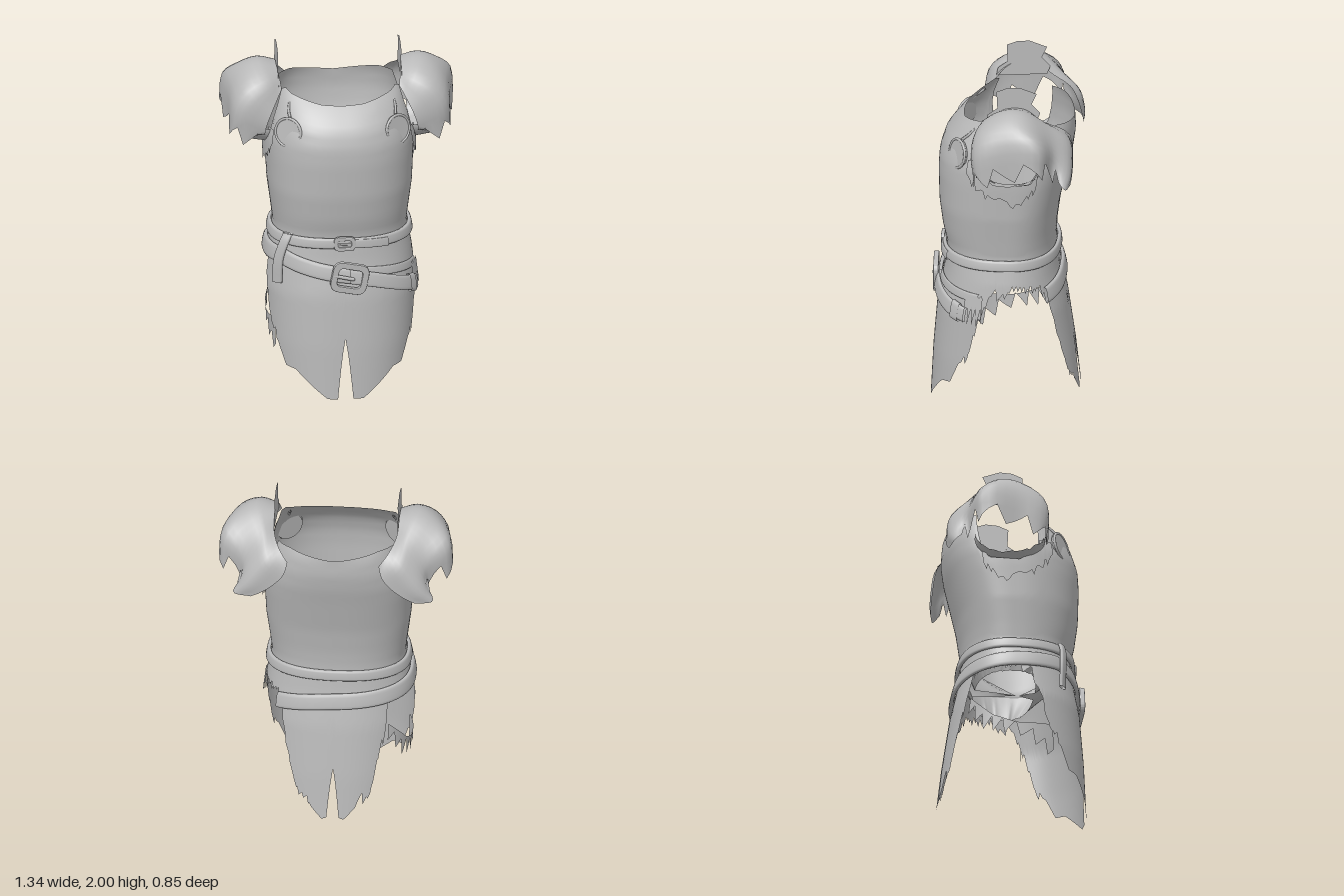
import * as THREE from 'three';
import { mergeVertices } from 'three/addons/utils/BufferGeometryUtils.js';

const grey = new THREE.MeshStandardMaterial({ color: 0xb8b8b8, side: THREE.DoubleSide });
grey.name = 'plain grey';

// piecewise linear lookup: rows [key, ...values]
function lut(rows, k, c = 1) {
  if (k <= rows[0][0]) return rows[0][c];
  for (let i = 1; i < rows.length; i++) {
    const a = rows[i - 1], b = rows[i];
    if (k <= b[0]) return a[c] + (b[c] - a[c]) * (k - a[0]) / (b[0] - a[0]);
  }
  return rows[rows.length - 1][c];
}
const spow = (v, p) => Math.sign(v) * Math.pow(Math.abs(v), p);
const noise = (i) => { const s = Math.sin(i * 127.1 + 11.7) * 43758.5453; return s - Math.floor(s); };

// body cross-sections: height, half width, front depth, back depth
const BODY = [
  [0, 0.40, 0.43, 0.425], [0.3, 0.425, 0.415, 0.39], [0.6, 0.435, 0.39, 0.345],
  [0.8, 0.41, 0.35, 0.30], [0.95, 0.38, 0.335, 0.28], [1.05, 0.392, 0.36, 0.285],
  [1.2, 0.412, 0.38, 0.305], [1.4, 0.42, 0.385, 0.35], [1.5, 0.42, 0.378, 0.375],
  [1.6, 0.40, 0.345, 0.39], [1.7, 0.37, 0.26, 0.385], [1.78, 0.35, 0.16, 0.35],
];
const BACK_POWER = [[0.9, 0.83], [1.4, 0.62]]; // the upper back is squarer
// point on the body; angle in degrees, 0 = front, 90 = model's left
function onBody(deg, y, off = 0) {
  const a = deg * Math.PI / 180, s = Math.sin(a), c = Math.cos(a);
  const depth = lut(BODY, y, c > 0 ? 2 : 3);
  return new THREE.Vector3((lut(BODY, y, 1) + off) * spow(s, 0.83), y,
    (depth + off) * spow(c, c > 0 ? 0.83 : lut(BACK_POWER, y)));
}

function grid(nu, nv, fn, flip = false) {
  const pos = [], idx = [];
  for (let i = 0; i <= nu; i++) for (let j = 0; j <= nv; j++) {
    const p = fn(i / nu, j / nv, i);
    pos.push(p.x, p.y, p.z);
  }
  for (let i = 0; i < nu; i++) for (let j = 0; j < nv; j++) {
    const a = i * (nv + 1) + j, b = a + nv + 1;
    if (flip) idx.push(a, b + 1, b, a, a + 1, b + 1);
    else idx.push(a, b, b + 1, a, b + 1, a + 1);
  }
  const g = new THREE.BufferGeometry();
  g.setAttribute('position', new THREE.Float32BufferAttribute(pos, 3));
  g.setIndex(idx);
  const m = mergeVertices(g, 1e-5);
  m.computeVertexNormals();
  return m;
}

// cloth hugging the body between two height functions
const cloth = (d0, d1, n, rows, bottom, top, off = 0) => grid(n, rows, (u, v, i) => {
  const d = d0 + (d1 - d0) * u, b = bottom(d, i);
  return onBody(d, b + (top(d, i) - b) * v, off);
});

// belt with a rounded section, its height given by rows [angle, y]
const belt = (d0, d1, n, path, h, t, off = 0.002) => grid(n, 16, (u, v) => {
  const d = d0 + (d1 - d0) * u, a = v * Math.PI * 2;
  return onBody(d, lut(path, d) + h / 2 * spow(Math.sin(a), 0.6), off + t * (0.5 + 0.5 * spow(Math.cos(a), 0.6)));
});

// buckle frame: rounded rectangle with a hole
function frame(w, h, bar, depth) {
  const rounded = (P, x, y, r) => {
    const p = new P();
    p.moveTo(-x + r, -y); p.lineTo(x - r, -y); p.quadraticCurveTo(x, -y, x, -y + r);
    p.lineTo(x, y - r); p.quadraticCurveTo(x, y, x - r, y);
    p.lineTo(-x + r, y); p.quadraticCurveTo(-x, y, -x, y - r);
    p.lineTo(-x, -y + r); p.quadraticCurveTo(-x, -y, -x + r, -y);
    return p;
  };
  const s = rounded(THREE.Shape, w / 2, h / 2, w * 0.25);
  s.holes.push(rounded(THREE.Path, w / 2 - bar, h / 2 - bar, w * 0.16));
  return new THREE.ExtrudeGeometry(s, { depth, bevelEnabled: true, bevelSize: 0.005, bevelThickness: 0.005, bevelSegments: 2, curveSegments: 6 });
}

// shoulder guard stations, front to back, each from neck to outer edge
const GUARD = [
  [[.335, 1.77, .09], [.37, 1.71, .135], [.405, 1.64, .165], [.43, 1.57, .17], [.44, 1.50, .155]],
  [[.345, 1.83, .04], [.42, 1.82, .10], [.52, 1.77, .135], [.59, 1.67, .14], [.61, 1.52, .12]],
  [[.355, 1.87, -.03], [.46, 1.895, -.03], [.56, 1.845, -.02], [.625, 1.75, -.02], [.635, 1.57, -.02]],
  [[.355, 1.87, -.13], [.46, 1.89, -.14], [.57, 1.84, -.17], [.645, 1.76, -.23], [.66, 1.61, -.235]],
  [[.35, 1.80, -.23], [.41, 1.80, -.27], [.47, 1.74, -.30], [.515, 1.65, -.315], [.53, 1.55, -.30]],
  [[.31, 1.74, -.34], [.37, 1.70, -.385], [.43, 1.62, -.40], [.50, 1.53, -.40], [.57, 1.47, -.375]],
  [[.26, 1.68, -.385], [.28, 1.61, -.40], [.33, 1.55, -.405], [.41, 1.49, -.405], [.47, 1.46, -.40]],
];
function guardGeometry(side) {
  const rails = [0, 1, 2, 3, 4].map((k) => new THREE.CatmullRomCurve3(GUARD.map((s) => new THREE.Vector3(...s[k]))));
  return grid(28, 12, (u, v, i) => {
    const p = new THREE.CatmullRomCurve3(rails.map((r) => r.getPoint(u))).getPoint(v);
    if (v === 1 && u < 0.75) p.y -= (i % 4 - 1.5) * 0.035;
    p.x *= side;
    return p;
  }, side > 0);
}

export function createModel() {
  const model = new THREE.Group();
  const add = (name, geo, x = 0, y = 0, z = 0, rx = 0, ry = 0, rz = 0) => {
    const m = new THREE.Mesh(geo, grey);
    m.name = name;
    m.position.set(x, y, z);
    m.rotation.set(rx, ry, rz, 'YXZ');
    model.add(m);
  };

  // chest and back with neckline and armholes
  const TOP = [[0, 1.715], [15, 1.72], [50, 1.76], [60, 1.78], [70, 1.77], [77, 1.5], [90, 1.42],
    [106, 1.43], [112, 1.5], [117, 1.74], [140, 1.74], [180, 1.70]];
  add('torso', cloth(-180, 180, 180, 24, () => 0.93, (d) => lut(TOP, Math.abs(d))));

  // lining folded inward below the waist, with a pointed gusset front and back
  const LINING = [[0, 0.05], [5, 0.135], [89, 0.135], [91, -0.21], [175, -0.21], [180, 0.03]];
  add('waistLining', grid(144, 6, (u, v, i) => {
    const d = -180 + 360 * u, a = d * Math.PI / 180;
    const inner = new THREE.Vector3((0.325 + 0.02 * noise(i)) * spow(Math.sin(a), 0.83), 0.77,
      lut(LINING, Math.abs(d)) * Math.abs(spow(Math.cos(a), 0.7)));
    return inner.lerp(onBody(d, 0.93, -0.006), v);
  }));

  // torn skirt with front and back slits and open sides
  const HEM = [[0, 0.36], [4, 0], [11, 0], [38, 0.16], [49, 0.17], [58, 0.30], [66, 0.34], [70, 0.43],
    [76, 0.6], [82, 0.72], [100, 0.77], [125, 0.75], [138, 0.70], [143, 0.52], [148, 0.38], [154, 0.18], [165, 0.13],
    [174, 0.05], [177, 0.06], [180, 0.36]];
  add('skirt', cloth(-180, 180, 360, 20, (d, i) => {
    const a = Math.abs(d), amp = a > 60 && a < 166 ? 0.09 : 0;
    return lut(HEM, a) + amp * (noise(Math.floor(i / 4)) * 0.6 + (i % 4) * 0.12 - 0.3);
  }, () => 0.94));
  // ragged strips on both sides
  add('rightSideRag', cloth(-138, -64, 38, 4, (d, i) => lut([[-138, 0.5], [-118, 0.37], [-90, 0.33], [-64, 0.2]], d) + (i % 5) * 0.022,
    (d) => lut([[-138, 0.6], [-110, 0.46], [-90, 0.41], [-64, 0.42]], d), -0.01));
  add('leftSideRag', cloth(62, 78, 16, 5, (d, i) => 0.56 + (i % 4) * 0.035, (d) => 0.72 + 0.03 * noise(d), 0.018));

  // belts
  add('upperBelt', belt(-180, 180, 120, [[-180, 0.915], [0, 0.92], [180, 0.915]], 0.06, 0.024));
  const LOW = [[-225, 0.72], [-180, 0.76], [-90, 0.81], [-55, 0.82], [-25, 0.775], [0, 0.735], [20, 0.70], [45, 0.65], [68, 0.615]];
  add('lowerBelt', belt(-225, 10, 100, LOW, 0.09, 0.026));
  add('lowerBeltTail', belt(2, 64, 36, LOW, 0.085, 0.022, 0.016));
  add('tailLoop', belt(51, 59, 6, LOW, 0.105, 0.032, 0.014));
  add('lowerBeltRest', belt(12, 74, 24, [[12, 0.75], [74, 0.72]], 0.05, 0.012));
  add('upperBeltTail', belt(5, 33, 16, [[5, 0.92], [33, 0.912]], 0.05, 0.012, 0.022));

  // buckles with prongs
  add('largeBuckle', frame(0.2, 0.17, 0.026, 0.02), 0.025, 0.725, 0.39, 0, 0.05, -0.2);
  add('largeBuckleProng', new THREE.CapsuleGeometry(0.011, 0.11, 4, 8), -0.01, 0.733, 0.41, 0, 0, 1.35);
  add('smallBuckle', frame(0.115, 0.075, 0.014, 0.012), 0, 0.92, 0.355);
  add('smallBuckleProng', new THREE.CapsuleGeometry(0.006, 0.07, 4, 8), 0, 0.92, 0.368, 0, 0, Math.PI / 2);
  for (const x of [-0.16, -0.12]) {
    add('beltRivet', new THREE.SphereGeometry(0.012, 10, 6), x, 0.762 - (x + 0.16) * 0.25, 0.358);
  }

  // strap hanging from the upper belt
  const strap = new THREE.CatmullRomCurve3([[-48, 0.955, 0.02], [-49, 0.91, 0.035], [-52, 0.8, 0.04], [-54, 0.66, 0.02]]
    .map(([d, y, o]) => onBody(d, y, o)));
  add('hangingStrap', grid(16, 12, (u, v) => {
    const p = strap.getPoint(u), a = -v * Math.PI * 2;
    const w = 0.03 * spow(Math.cos(a), 0.5), t = 0.011 * spow(Math.sin(a), 0.5);
    return p.add(new THREE.Vector3(w * 0.85 - t * 0.55, 0, w * 0.5 + t * 0.85));
  }));

  for (const s of [1, -1]) {
    const side = s > 0 ? 'left' : 'right';
    add(side + 'ShoulderGuard', guardGeometry(s));

    // upright collar flap
    const flap = new THREE.Shape([[.09, 1.78], [.08, 1.83], [.025, 1.87], [.03, 1.97], [-.03, 1.995], [-.1, 2], [-.2, 1.965],
      [-.17, 1.9], [-.22, 1.85], [-.2, 1.8]].map(([z, y]) => new THREE.Vector2(z, y)));
    add(side + 'CollarFlap', new THREE.ShapeGeometry(flap).rotateY(-Math.PI / 2), s * 0.352);

    // chest disc with rim and lace
    add(side + 'ChestDisc', new THREE.CylinderGeometry(0.08, 0.082, 0.02, 32).rotateX(Math.PI / 2), s * 0.31, 1.57, 0.25, -0.15, s * 0.6);
    add(side + 'ChestDiscRim', new THREE.TorusGeometry(0.082, 0.008, 8, 32), s * 0.313, 1.57, 0.257, -0.15, s * 0.6);
    const lace = new THREE.CatmullRomCurve3([[.3, 1.65, .23], [.305, 1.68, .195], [.295, 1.72, .15]]
      .map(([x, y, z]) => new THREE.Vector3(s * x, y, z)));
    add(side + 'Lace', new THREE.TubeGeometry(lace, 8, 0.008, 6));

    // armhole edging and torn sleeve remains
    add(side + 'ArmholeRag', cloth(s * 64, s * 112, 26, 4, (d, i) => lut([[64, 1.44], [80, 1.32], [96, 1.27], [112, 1.36]], s * d) + noise(i) * 0.06,
      (d) => Math.min(1.56, lut(TOP, s * d) + 0.005), 0.015));
    add(side + 'SleeveRag', grid(28, 3, (u, v, i) => {
      const a = u * Math.PI, reach = 0.03 + 0.13 * (1 - u) * (0.4 + 0.6 * noise(i));
      return new THREE.Vector3(s * (0.405 + reach * v), 1.55 - 0.125 * Math.sin(a) + 0.02 * v, -0.05 + 0.2 * Math.cos(a));
    }, s < 0));
  }
  return model;
}
